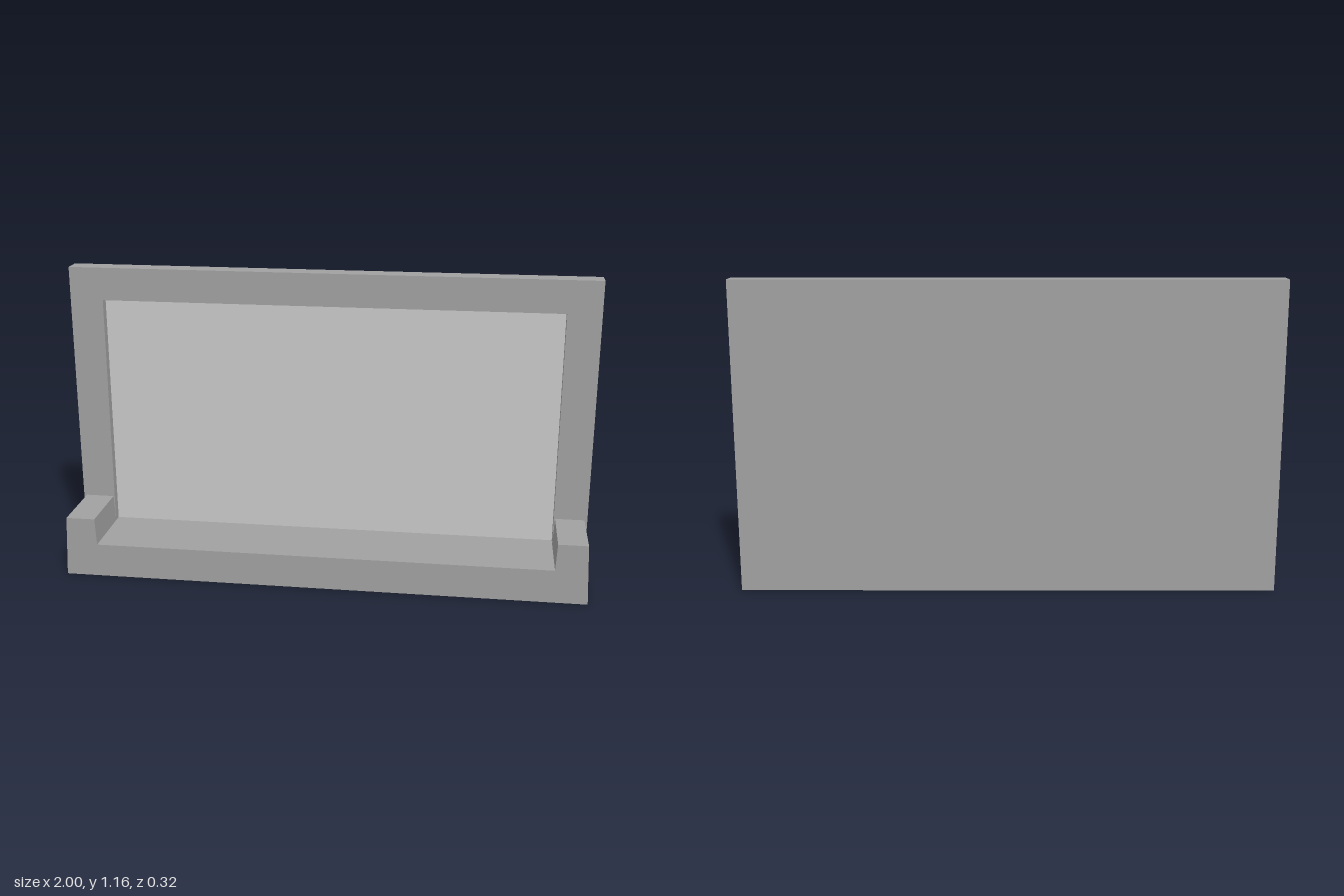
import * as THREE from 'three';

const frameGrey = new THREE.MeshStandardMaterial({ color: 0xa0a0a0 });
frameGrey.name = 'frame grey';
const panelGrey = new THREE.MeshStandardMaterial({ color: 0xc8c8c8 });
panelGrey.name = 'panel grey';

const H = 1.165;                                          // overall height
const BACK = -0.16, PANEL = -0.12, RIM = -0.085, FRONT = 0.16;  // depth levels
const IN = 0.873, LOW = 0.13, HIGH = 1.04;                // opening bounds

const points = list => list.map(([x, y]) => new THREE.Vector2(x, y));

function addMesh(group, name, geometry, material) {
  const mesh = new THREE.Mesh(geometry, material);
  mesh.name = name;
  group.add(mesh);
  return mesh;
}

// Extrude a front-facing outline between two depths
function slab(shape, z0, z1) {
  return new THREE.ExtrudeGeometry(shape, { depth: z1 - z0, bevelEnabled: false }).translate(0, 0, z0);
}

export function createModel() {
  const model = new THREE.Group();
  model.name = 'framedBoard';

  // Solid backing
  addMesh(model, 'backBoard',
    new THREE.BoxGeometry(2, H, PANEL - BACK).translate(0, H / 2, (PANEL + BACK) / 2), frameGrey);

  // Raised rim around the recessed panel
  const rim = new THREE.Shape(points([[-1, 0], [1, 0], [1, H], [-1, H]]));
  rim.holes.push(new THREE.Path(points([[-IN, LOW], [-IN, HIGH], [IN, HIGH], [IN, LOW]])));
  addMesh(model, 'rim', slab(rim, PANEL, RIM), frameGrey);

  // Pale panel set into the rim
  const panel = addMesh(model, 'panel', new THREE.PlaneGeometry(2 * IN, HIGH - LOW), panelGrey);
  panel.position.set(0, (HIGH + LOW) / 2, PANEL + 0.001);

  // Front ledge with a slightly tapered lug at each end
  const half = [[1, 0], [0.989, 0.235], [0.878, 0.235], [IN, LOW]];
  const mirrored = half.map(([x, y]) => [-x, y]).reverse();
  addMesh(model, 'ledge', slab(new THREE.Shape(points([...half, ...mirrored])), RIM, FRONT), frameGrey);

  return model;
}
